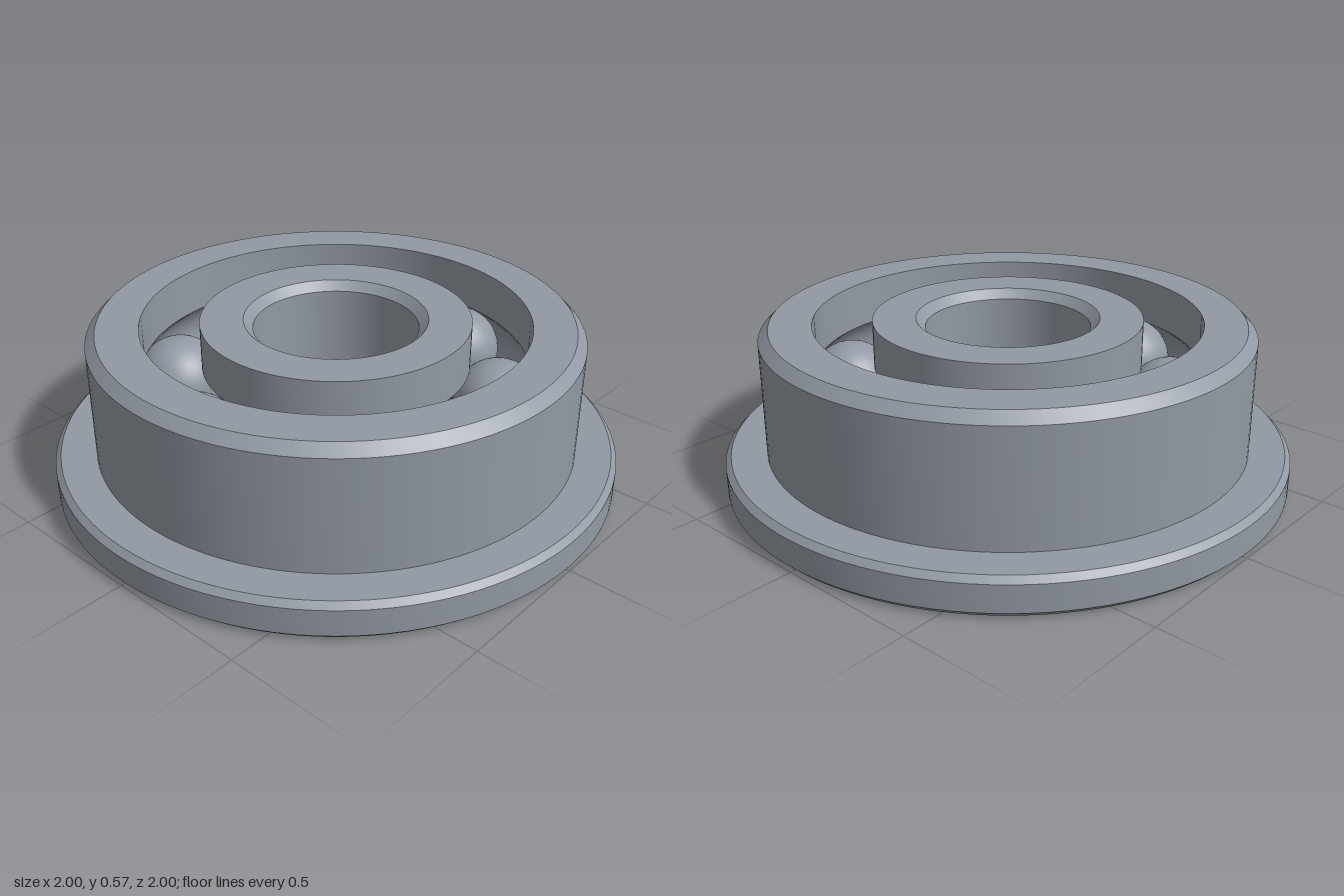
import * as THREE from 'three';
import { toCreasedNormals } from 'three/addons/utils/BufferGeometryUtils.js';

const HEIGHT = 0.575;
const PITCH = 0.5725; // radius of the ball circle
const BALL = 0.157;
const GROOVE = 0.159;
const INNER_WALL = 0.47;
const OUTER_WALL = 0.675;
const BALL_COUNT = 8;

// Arc of the ball groove in a ring's cross-section
function groove(from, to, steps = 14) {
  return Array.from({ length: steps + 1 }, (_, i) => {
    const a = from + ((to - from) * i) / steps;
    return [PITCH + GROOVE * Math.cos(a), HEIGHT / 2 + GROOVE * Math.sin(a)];
  });
}

// Revolve a closed cross-section, keeping its chamfer edges sharp
function ring(name, profile, material) {
  const points = [...profile, profile[0]].map(([x, y]) => new THREE.Vector2(x, y));
  const geometry = toCreasedNormals(new THREE.LatheGeometry(points, 112), 0.5);
  const mesh = new THREE.Mesh(geometry, material);
  mesh.name = name;
  return mesh;
}

export function createModel() {
  const model = new THREE.Group();
  model.name = 'flangedBallBearing';
  const steel = new THREE.MeshStandardMaterial({ color: 0x9299a3 });
  steel.name = 'steel';

  // Outer ring with chamfered flange and raceway
  const outerAngle = Math.acos((OUTER_WALL - PITCH) / GROOVE);
  model.add(ring('outerRing', [
    [OUTER_WALL, 0], [0.98, 0], [1, 0.02], [1, 0.115], [0.98, 0.135],
    [0.857, 0.135], [0.857, 0.54], [0.822, HEIGHT], [OUTER_WALL, HEIGHT],
    ...groove(outerAngle, -outerAngle),
  ], steel));

  // Inner ring with chamfered bore and raceway
  const innerAngle = Math.acos((PITCH - INNER_WALL) / GROOVE);
  model.add(ring('innerRing', [
    [0.32, 0], [INNER_WALL, 0],
    ...groove(Math.PI + innerAngle, Math.PI - innerAngle),
    [INNER_WALL, HEIGHT], [0.32, HEIGHT], [0.288, HEIGHT - 0.032], [0.288, 0.032],
  ], steel));

  // Evenly spaced balls
  const balls = new THREE.Group();
  balls.name = 'balls';
  const sphere = new THREE.SphereGeometry(BALL, 40, 24);
  for (let i = 0; i < BALL_COUNT; i++) {
    const a = THREE.MathUtils.degToRad(12) + (i * Math.PI * 2) / BALL_COUNT;
    const ball = new THREE.Mesh(sphere, steel);
    ball.name = 'ball';
    ball.position.set(PITCH * Math.cos(a), HEIGHT / 2, PITCH * Math.sin(a));
    balls.add(ball);
  }
  model.add(balls);

  return model;
}
